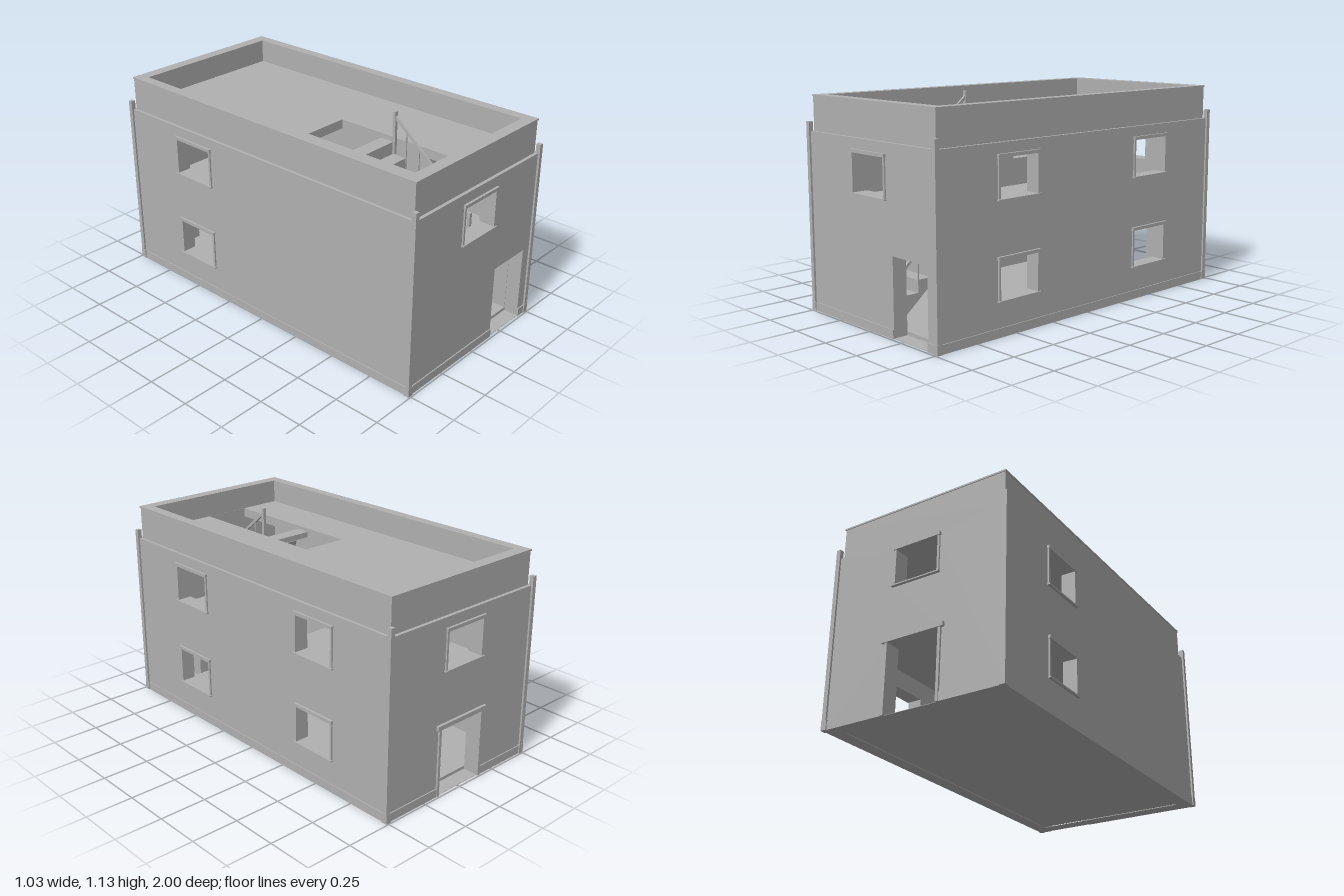
import * as THREE from 'three';

export function createModel() {
  const model = new THREE.Group();
  const plaster = new THREE.MeshStandardMaterial({ color: 0xb0b0b0 });
  plaster.name = 'grey plaster';

  const add = (name, geometry, parent = model) => {
    const mesh = new THREE.Mesh(geometry, plaster);
    mesh.name = name;
    parent.add(mesh);
    return mesh;
  };
  // Box given by its limits on each axis
  const box = (name, x0, x1, y0, y1, z0, z1, parent = model) => {
    const mesh = add(name, new THREE.BoxGeometry(x1 - x0, y1 - y0, z1 - z0), parent);
    mesh.position.set((x0 + x1) / 2, (y0 + y1) / 2, (z0 + z1) / 2);
    return mesh;
  };
  const trace = (target, x0, x1, y0, y1) => {
    target.moveTo(x0, y0).lineTo(x1, y0).lineTo(x1, y1).lineTo(x0, y1).closePath();
    return target;
  };
  // Rectangular plate with rectangular holes, extruded along +z
  const plate = (outer, holes, depth) => {
    const shape = trace(new THREE.Shape(), ...outer);
    holes.forEach((h) => shape.holes.push(trace(new THREE.Path(), ...h)));
    return new THREE.ExtrudeGeometry(shape, { depth, bevelEnabled: false });
  };
  // Horizontal plate whose top lies at the given height
  const slab = (name, outer, holes, top, depth) => {
    add(name, plate(outer, holes, depth).rotateX(Math.PI / 2)).position.y = top;
  };

  const X = 0.5, Z = 0.983, inX = 0.43, inZ = 0.905, wallTop = 0.93;
  const rows = [[0.18, 0.375], [0.665, 0.86]];
  const frontDoor = [0.175, 0.432, 0, 0.4];
  const backDoor = [-0.145, 0.145, 0, 0.365];
  const endWindow = [-0.122, 0.122, ...rows[1]];

  // Outer walls with their openings
  const sideHoles = (centres) =>
    centres.flatMap((c) => rows.map(([a, b]) => [c - 0.122, c + 0.122, a, b]));
  // Openings that reach the ground are notched a hair above the wall foot
  const raise = ([a, b, , d]) => [a, b, 0.002, d];
  add('frontWall', plate([-X, X, 0, wallTop], [raise(frontDoor), endWindow], Z - inZ)).position.z = inZ;
  add('backWall', plate([-X, X, 0, wallTop], [raise(backDoor), endWindow], Z - inZ)).position.z = -Z;
  const rightWall = add('plusXWall', plate([-inZ, inZ, 0, wallTop], sideHoles([-0.482, 0.482]), X - inX));
  rightWall.rotation.y = -Math.PI / 2;
  rightWall.position.x = X;
  const leftWall = add('minusXWall', plate([-inZ, inZ, 0, wallTop], sideHoles([-0.482]), X - inX));
  leftWall.rotation.y = -Math.PI / 2;
  leftWall.position.x = -inX;

  // Floors, roof deck, parapet and coping
  const stairwell = [-0.195, 0.062, 0.06, 0.904];
  const inside = [-inX, inX, -inZ, inZ];
  slab('groundFloor', inside, [], 0.02, 0.016);
  slab('upperFloor', inside, [stairwell], 0.505, 0.035);
  slab('roofDeck', inside, [stairwell], 0.985, 0.05);
  slab('parapet', [-0.483, 0.483, -0.965, 0.965], [inside], 1.104, 1.104 - wallTop);
  slab('coping', [-0.487, 0.487, -0.969, 0.969], [inside], 1.113, 0.009);

  // Corner posts on square bases
  for (const sx of [-1, 1]) {
    for (const sz of [-1, 1]) {
      const post = box('cornerPost', -0.012, 0.012, 0.05, 0.978, -0.012, 0.012);
      post.position.x = sx * 0.498;
      post.position.z = sz * 0.981;
      const base = box('cornerPostBase', -0.0155, 0.0155, 0, 0.05, -0.0155, 0.0155);
      base.position.x = sx * 0.4955;
      base.position.z = sz * 0.979;
    }
    // Plinth along the long sides
    box('sidePlinth', sx > 0 ? X : -X - 0.005, sx > 0 ? X + 0.005 : -X, 0, 0.045, -Z, Z);
  }
  // Plinth on the ends, broken at the doors
  box('frontPlinth', -X, frontDoor[0], 0, 0.045, Z, Z + 0.006);
  box('frontPlinth', frontDoor[1], X, 0, 0.045, Z, Z + 0.006);
  box('backPlinth', -X, -0.16, 0, 0.045, -Z - 0.006, -Z);
  box('backPlinth', 0.16, X, 0, 0.045, -Z - 0.006, -Z);

  // Window surround: lintel, jambs and sill
  const windowTrim = (parent, u, [y0, y1]) => {
    const group = new THREE.Group();
    group.name = 'windowTrim';
    group.position.x = u;
    parent.add(group);
    box('lintel', -0.137, 0.137, y1, y1 + 0.017, 0, 0.013, group);
    box('sill', -0.139, 0.139, y0 - 0.007, y0, 0, 0.016, group);
    for (const s of [-1, 1]) {
      box('jamb', -0.006, 0.006, y0, y1, 0, 0.008, group).position.x = s * 0.128;
    }
  };
  const face = (name, angle, x, z) => {
    const group = new THREE.Group();
    group.name = name;
    group.rotation.y = angle;
    group.position.set(x, 0, z);
    model.add(group);
    return group;
  };
  const front = face('frontTrim', 0, 0, Z);
  const back = face('backTrim', Math.PI, 0, -Z);
  const plusX = face('plusXTrim', Math.PI / 2, X, 0);
  const minusX = face('minusXTrim', -Math.PI / 2, -X, 0);
  windowTrim(front, 0, rows[1]);
  windowTrim(back, 0, rows[1]);
  for (const row of rows) {
    windowTrim(plusX, -0.482, row);
    windowTrim(plusX, 0.482, row);
    windowTrim(minusX, -0.482, row);
  }
  // Back door surround
  box('doorLintel', -0.175, 0.175, 0.365, 0.388, 0, 0.015, back);
  for (const s of [-1, 1]) {
    box('doorJamb', -0.0075, 0.0075, 0, 0.365, 0, 0.01, back).position.x = s * 0.1525;
  }

  // One flight climbing towards the back, with newels, balusters and handrail
  const rise = 0.066, run = 0.081, startZ = 0.9;
  const flight = (baseY) => {
    const group = new THREE.Group();
    group.name = 'stairFlight';
    group.position.y = baseY;
    model.add(group);

    // Stepped profile drawn as distance up the flight against height
    const profile = new THREE.Shape();
    profile.moveTo(0, 0);
    for (let i = 0; i < 7; i++) {
      profile.lineTo(i * run, (i + 1) * rise);
      profile.lineTo((i + 1) * run, (i + 1) * rise);
    }
    profile.lineTo(7 * run, 7 * rise - 0.03);
    profile.lineTo(6 * run, 7 * rise - 0.03);
    profile.lineTo(5.6 * run, 5 * rise);
    profile.lineTo(0.6 * run, 0);
    profile.closePath();
    const steps = add('steps', new THREE.ExtrudeGeometry(profile, { depth: 0.24, bevelEnabled: false }), group);
    steps.rotation.y = Math.PI / 2;
    steps.position.set(-0.192, 0, startZ);

    box('bottomNewel', 0.041, 0.058, 0, 0.23, 0.885, 0.902, group);
    box('topNewel', 0.041, 0.058, 0.4, 0.627, 0.411, 0.428, group);
    const z0 = 0.893, z1 = 0.42, y0 = 0.212, y1 = 0.6;
    const rail = add('handrail', new THREE.BoxGeometry(0.012, 0.014, Math.hypot(z0 - z1, y1 - y0)), group);
    rail.position.set(0.05, (y0 + y1) / 2, (z0 + z1) / 2);
    rail.rotation.x = Math.atan2(y1 - y0, z0 - z1);
    for (let i = 1; i < 6; i++) {
      const z = startZ - (i + 0.5) * run + 0.04;
      const top = y0 + (y1 - y0) * (z0 - z) / (z0 - z1);
      box('baluster', 0.047, 0.053, i * rise, top, z - 0.003, z + 0.003, group);
    }
  };
  flight(0.02);
  flight(0.505);

  return model;
}
